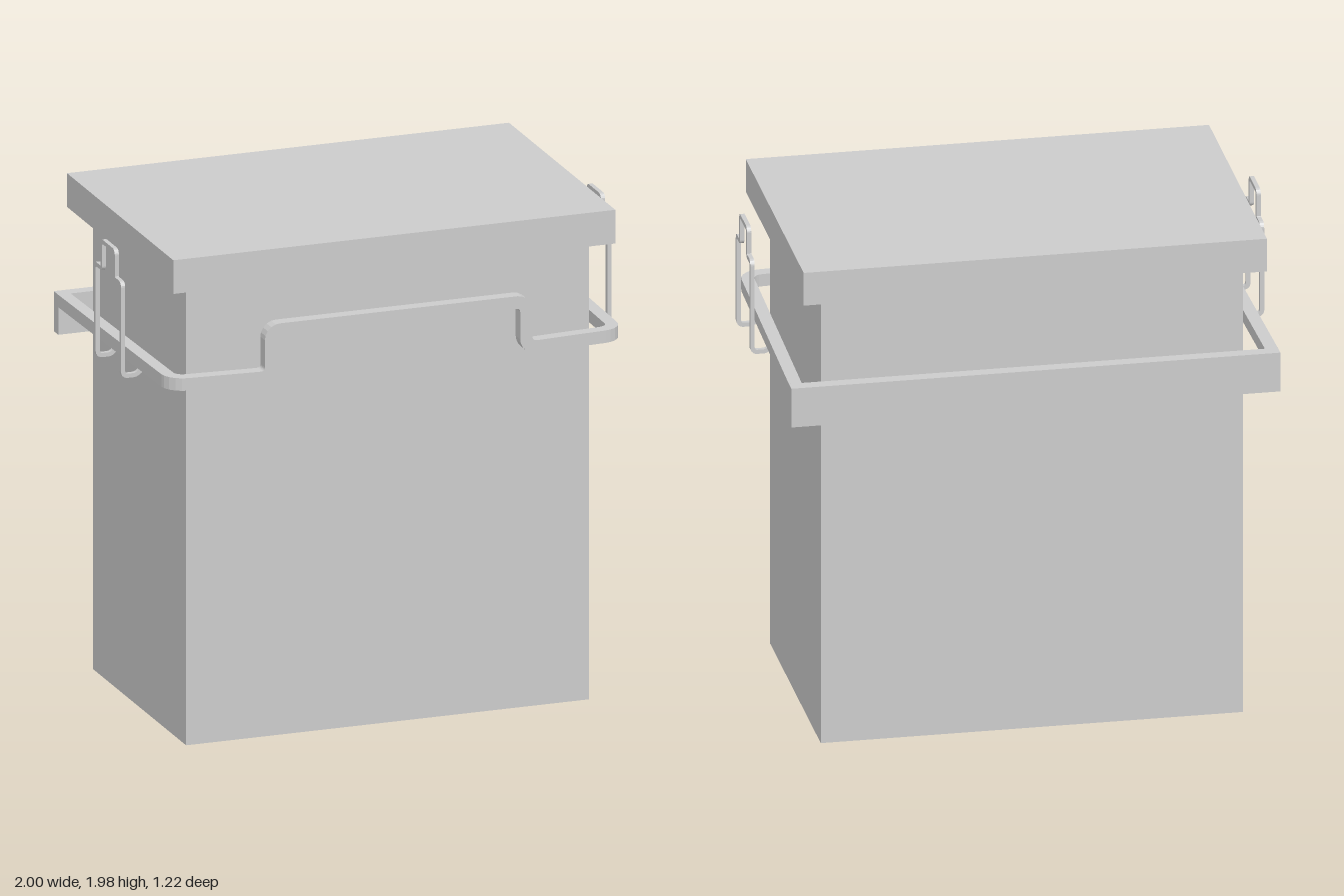
import * as THREE from 'three';

const material = new THREE.MeshStandardMaterial({ color: 0xcccccc, flatShading: true });

// Box given by its limits on each axis
function box(name, x0, x1, y0, y1, z0, z1) {
  const geo = new THREE.BoxGeometry(x1 - x0, y1 - y0, z1 - z0);
  geo.translate((x0 + x1) / 2, (y0 + y1) / 2, (z0 + z1) / 2);
  const mesh = new THREE.Mesh(geo, material);
  mesh.name = name;
  return mesh;
}

// Replaces each corner [x, y, z, r] that has a radius with a short curve
function roundPath(corners, steps = 5) {
  const pts = corners.map(c => new THREE.Vector3(c[0], c[1], c[2]));
  const out = [];
  pts.forEach((p, i) => {
    const r = corners[i][3] || 0;
    if (!r) { out.push(p); return; }
    const a = pts[i - 1].clone().sub(p).setLength(r).add(p);
    const b = pts[i + 1].clone().sub(p).setLength(r).add(p);
    // conic weight close to a circular arc for right angles
    for (let k = 0; k <= steps; k++) {
      const t = k / steps, w0 = (1 - t) ** 2, w1 = Math.SQRT2 * t * (1 - t), w2 = t * t;
      out.push(a.clone().multiplyScalar(w0).addScaledVector(p, w1).addScaledVector(b, w2)
        .divideScalar(w0 + w1 + w2));
    }
  });
  return out;
}

// Square bar of the given thickness swept along a path, with mitred joints
function bar(name, corners, thickness) {
  const path = roundPath(corners);
  const n = path.length, h = thickness / 2;
  const dirs = path.slice(1).map((p, i) => p.clone().sub(path[i]).normalize());
  const u = new THREE.Vector3(0, 1, 0);
  u.addScaledVector(dirs[0], -u.dot(dirs[0])).normalize();
  const positions = [], index = [];
  for (let i = 0; i < n; i++) {
    const t0 = dirs[Math.max(i - 1, 0)], t1 = dirs[Math.min(i, n - 2)];
    const miter = t0.clone().add(t1).normalize();
    const v = t0.clone().cross(u);
    for (const [a, b] of [[h, h], [-h, h], [-h, -h], [h, -h]]) {
      const o = u.clone().multiplyScalar(a).addScaledVector(v, b);
      o.addScaledVector(t0, -o.dot(miter) / t0.dot(miter)).add(path[i]);
      positions.push(o.x, o.y, o.z);
    }
    u.applyQuaternion(new THREE.Quaternion().setFromUnitVectors(t0, t1));
  }
  for (let i = 0; i < n - 1; i++) {
    for (let k = 0; k < 4; k++) {
      const a = i * 4 + k, b = i * 4 + (k + 1) % 4;
      index.push(a, b, b + 4, a, b + 4, a + 4);
    }
  }
  const e = (n - 1) * 4;
  index.push(0, 2, 1, 0, 3, 2, e, e + 1, e + 2, e, e + 2, e + 3);
  const indexed = new THREE.BufferGeometry();
  indexed.setAttribute('position', new THREE.Float32BufferAttribute(positions, 3));
  indexed.setIndex(index);
  const geo = indexed.toNonIndexed();
  geo.computeVertexNormals();
  const mesh = new THREE.Mesh(geo, material);
  mesh.name = name;
  return mesh;
}

export function createModel() {
  const model = new THREE.Group();
  model.name = 'lidded bin';

  // Container, lid and the flat bar behind it
  model.add(box('body', -0.82, 0.82, 0, 1.84, -0.53, 0.485));
  model.add(box('lid', -0.9, 0.9, 1.84, 1.975, -0.6, 0.56));
  model.add(box('backBar', -0.95, 0.95, 1.345, 1.505, -0.61, -0.56));

  // Carrying frame: one half from the back to the raised front grip, then mirrored
  const half = [
    [0.925, 1.48, -0.56],
    [0.902, 1.48, 0.557, 0.055],
    [0.56, 1.48, 0.583],
    [0.52, 1.48, 0.583, 0.038],
    [0.52, 1.665, 0.583, 0.038],
  ];
  const mirrored = half.map(([x, y, z, r]) => [-x, y, z, r]).reverse();
  model.add(bar('carryingFrame', [...half, ...mirrored], 0.05));

  // Wire latches hooked under the frame on both sides
  const zMid = 0.107;
  const wire = [
    [0.89, 1.452, 0.138],
    [0.915, 1.447, 0.138, 0.012],
    [0.935, 1.428, 0.138, 0.012],
    [0.99, 1.428, 0.138, 0.018],
    [0.99, 1.797, 0.138, 0.015],
    [0.99, 1.797, 0.07, 0.01],
    [0.99, 1.907, 0.07, 0.015],
  ];
  for (const [name, s] of [['leftLatch', 1], ['rightLatch', -1]]) {
    const front = wire.map(([x, y, z, r]) => [s * x, y, zMid + z, r]);
    const back = wire.map(([x, y, z, r]) => [s * x, y, zMid - z, r]).reverse();
    model.add(bar(name, [...front, ...back], 0.017));
  }
  return model;
}
